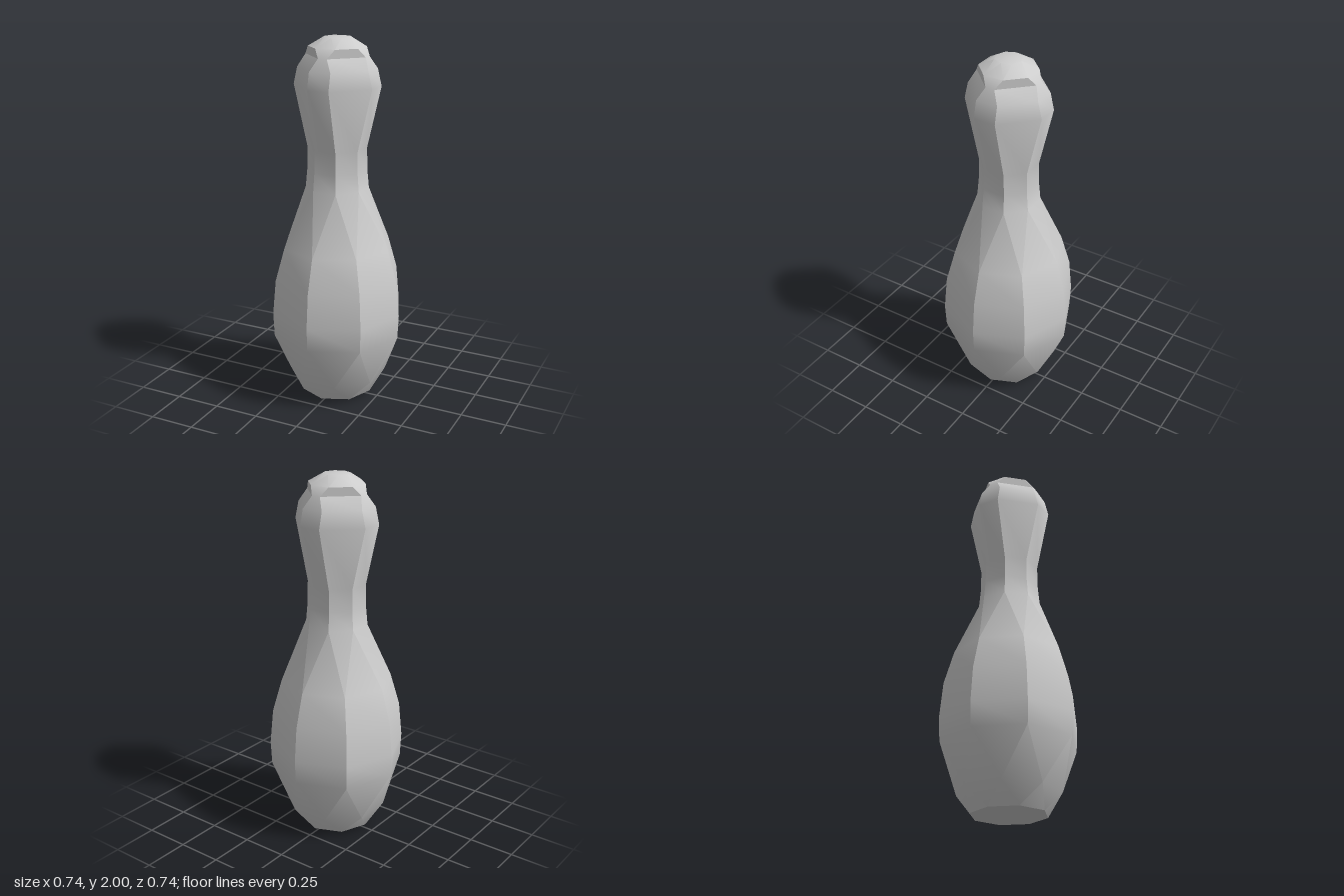
import * as THREE from 'three';
import { toCreasedNormals } from 'three/addons/utils/BufferGeometryUtils.js';

// Ring with its eight corners on the axes and diagonals
function cornerRing(y, r) {
  const points = [];
  for (let k = 0; k < 8; k++) {
    const t = (k * Math.PI) / 4;
    points.push(new THREE.Vector3(r * Math.cos(t), y, -r * Math.sin(t)));
  }
  return { points, split: false };
}

// Ring with four narrow sides facing the axes: a = reach, b = half width of the narrow side
function splitRing(y, a, b) {
  const points = [];
  for (let q = 0; q < 4; q++) {
    const c = Math.round(Math.cos((q * Math.PI) / 2));
    const s = Math.round(Math.sin((q * Math.PI) / 2));
    for (const [u, v] of [[a, b], [b, a]]) {
      points.push(new THREE.Vector3(u * c - v * s, y, -(u * s + v * c)));
    }
  }
  return { points, split: true };
}

// Joins the rings with triangles and closes both ends
function skin(rings, bottomY, topY) {
  const pos = [];
  const tri = (...corners) => corners.forEach((p) => pos.push(p.x, p.y, p.z));
  const bottom = new THREE.Vector3(0, bottomY, 0);
  const top = new THREE.Vector3(0, topY, 0);
  const last = rings[rings.length - 1].points;
  for (let k = 0; k < 8; k++) {
    const n = (k + 1) % 8;
    tri(bottom, rings[0].points[n], rings[0].points[k]);
    for (let i = 0; i < rings.length - 1; i++) {
      const L = rings[i].points, U = rings[i + 1].points;
      if (rings[i].split && !rings[i + 1].split) {
        tri(L[k], L[n], U[n]);
        tri(L[k], U[n], U[k]);
      } else {
        tri(L[k], L[n], U[k]);
        tri(L[n], U[n], U[k]);
      }
    }
    tri(top, last[k], last[n]);
  }
  const geo = new THREE.BufferGeometry();
  geo.setAttribute('position', new THREE.Float32BufferAttribute(pos, 3));
  return toCreasedNormals(geo, 0.55);
}

export function createModel() {
  const paleGrey = new THREE.MeshStandardMaterial({ color: 0xcccccc });
  paleGrey.name = 'pale grey';

  const rings = [
    // base
    cornerRing(0.005, 0.12),
    cornerRing(0.02, 0.203),
    splitRing(0.13, 0.252, 0.105),
    // belly
    cornerRing(0.38, 0.366),
    cornerRing(0.51, 0.372),
    cornerRing(0.7, 0.354),
    cornerRing(0.88, 0.302),
    // neck
    splitRing(1.2, 0.157, 0.065),
    splitRing(1.3, 0.148, 0.062),
    splitRing(1.42, 0.147, 0.06),
    // head, slightly pinched on the diagonals below the crown
    splitRing(1.75, 0.225, 0.06),
    splitRing(1.84, 0.203, 0.06),
    splitRing(1.905, 0.172, 0.025),
    splitRing(1.95, 0.142, 0.055),
    cornerRing(1.998, 0.072),
  ];

  const pin = new THREE.Mesh(skin(rings, 0, 2), paleGrey);
  pin.name = 'bowlingPin';
  const group = new THREE.Group();
  group.name = 'model';
  group.add(pin);
  return group;
}
